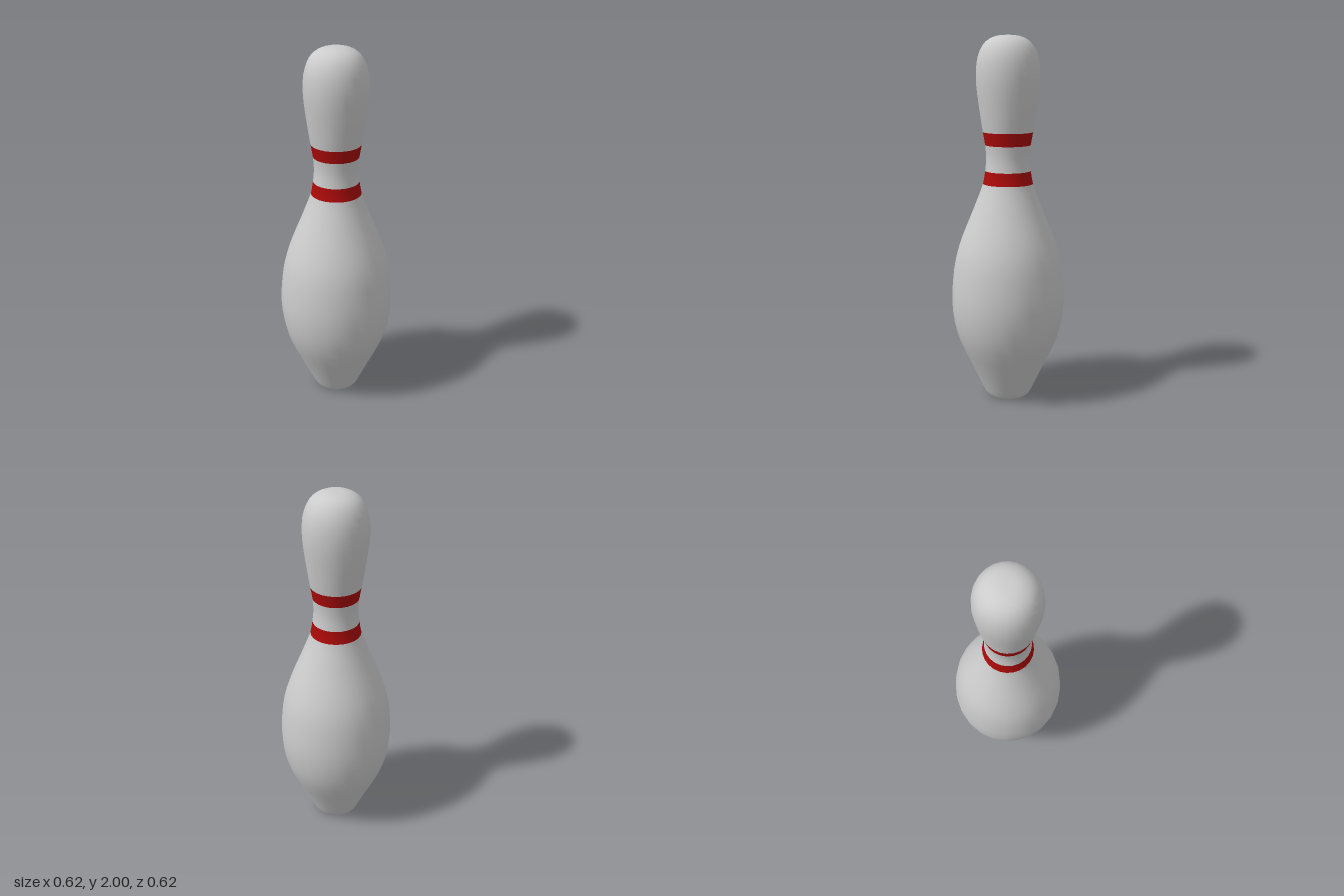
import * as THREE from 'three';

// Radius and height along the outline, from base to crown
const OUTLINE = [
  [0.105, 0], [0.122, 0.012], [0.142, 0.05], [0.2, 0.175], [0.264, 0.31], [0.298, 0.425], [0.312, 0.55],
  [0.307, 0.67], [0.289, 0.8], [0.255, 0.91], [0.206, 1.03], [0.17, 1.12],
  [0.137, 1.21], [0.125, 1.28], [0.119, 1.345], [0.124, 1.42], [0.136, 1.49],
  [0.15, 1.58], [0.165, 1.69], [0.172, 1.78], [0.167, 1.86], [0.15, 1.92],
  [0.12, 1.965], [0.075, 1.991], [0.035, 1.999], [0, 2],
];
const SIDES = 24;
const STEPS = 2; // profile rows between neighbouring outline points

export function createModel() {
  const group = new THREE.Group();
  const white = new THREE.MeshStandardMaterial({ color: 0xcccccc });
  const red = new THREE.MeshStandardMaterial({ color: 0xaa0a0a });

  // Whole turned shape, so that normals run smoothly across the stripes
  const curve = new THREE.CatmullRomCurve3(OUTLINE.map(([r, y]) => new THREE.Vector3(r, y, 0)));
  const rows = (OUTLINE.length - 1) * STEPS;
  const profile = curve.getPoints(rows).map((p) => new THREE.Vector2(Math.max(p.x, 0), Math.min(Math.max(p.y, 0), 2)));
  const turned = new THREE.LatheGeometry(profile, SIDES);

  // Cut out the rings between two outline points as a separate part
  function addSection(name, from, to, material) {
    const all = Array.from(turned.index.array);
    const kept = all.filter((_, k) => {
      const row = Math.floor(k / 6) % rows;
      return row >= from * STEPS && row < to * STEPS;
    });
    const geometry = turned.clone().setIndex(kept).toNonIndexed();
    const mesh = new THREE.Mesh(geometry, material);
    mesh.name = name;
    group.add(mesh);
  }

  addSection('belly', 0, 12, white);
  addSection('lowerStripe', 12, 13, red);
  addSection('neck', 13, 15, white);
  addSection('upperStripe', 15, 16, red);
  addSection('head', 16, OUTLINE.length - 1, white);

  // Flat underside
  const base = new THREE.Mesh(new THREE.CircleGeometry(OUTLINE[0][0], SIDES).rotateX(Math.PI / 2), white);
  base.name = 'base';
  group.add(base);

  return group;
}
